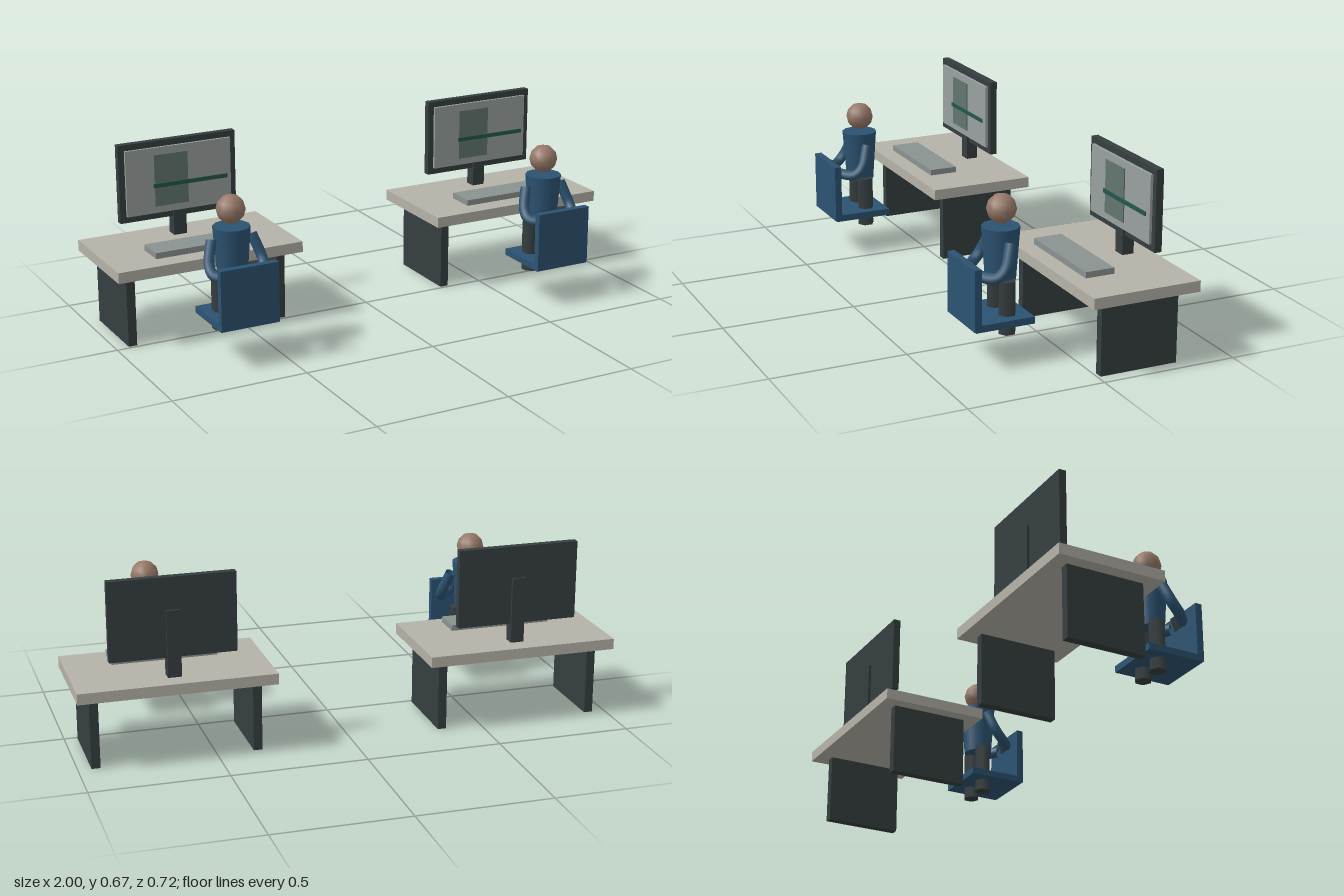
import * as THREE from 'three';

const mat = (color, extra = {}) => new THREE.MeshStandardMaterial({ color, ...extra });
const desktopMat = mat(0xb5b2a8);
const darkMat = mat(0x363e40);
const blueMat = mat(0x2c5372);
const sleeveMat = mat(0x2c5372, { side: THREE.DoubleSide });
const skinMat = mat(0x967868);
const keyMat = mat(0x8b9391);
const screenMat = mat(0x9aa19f);
const paneMat = mat(0x62766f);
const barMat = mat(0x24574e);

function add(parent, name, geometry, material, x, y, z) {
  const mesh = new THREE.Mesh(geometry, material);
  mesh.name = name;
  mesh.position.set(x, y, z);
  parent.add(mesh);
  return mesh;
}

// Box given by its [min, max] range on each axis
function box(parent, name, material, [x0, x1], [y0, y1], [z0, z1]) {
  return add(parent, name, new THREE.BoxGeometry(x1 - x0, y1 - y0, z1 - z0), material,
    (x0 + x1) / 2, (y0 + y1) / 2, (z0 + z1) / 2);
}

function group(parent, name) {
  const g = new THREE.Group();
  g.name = name;
  parent.add(g);
  return g;
}

function buildDesk(parent) {
  const desk = group(parent, 'desk');
  box(desk, 'deskTop', desktopMat, [-0.357, 0.357], [0.264, 0.304], [-0.359, 0.045]);
  for (const s of [-1, 1]) {
    box(desk, s > 0 ? 'leftDeskPanel' : 'rightDeskPanel', darkMat,
      [s * 0.293 - 0.016, s * 0.293 + 0.016], [0, 0.264], [-0.303, -0.011]);
  }
  box(desk, 'keyboard', keyMat, [-0.193, 0.193], [0.311, 0.333], [-0.12, -0.011]);
}

function buildMonitor(parent) {
  const monitor = group(parent, 'monitor');
  box(monitor, 'stand', darkMat, [-0.025, 0.025], [0.304, 0.55], [-0.29, -0.245]);
  box(monitor, 'monitorCase', darkMat, [-0.229, 0.229], [0.376, 0.669], [-0.28, -0.253]);
  box(monitor, 'screen', screenMat, [-0.206, 0.206], [0.4, 0.647], [-0.254, -0.243]);
  box(monitor, 'screenPane', paneMat, [-0.097, 0.034], [0.426, 0.62], [-0.243, -0.239]);
  box(monitor, 'screenBar', barMat, [-0.103, 0.189], [0.498, 0.513], [-0.238, -0.234]);
}

function buildChair(parent) {
  const chair = group(parent, 'chair');
  box(chair, 'seat', blueMat, [-0.11, 0.11], [0.144, 0.169], [0.136, 0.355]);
  box(chair, 'backrest', blueMat, [-0.11, 0.11], [0.147, 0.367], [0.334, 0.36]);
}

function buildPerson(parent) {
  const person = group(parent, 'person');
  add(person, 'torso', new THREE.CylinderGeometry(0.067, 0.053, 0.191, 12), blueMat, 0, 0.376, 0.213);
  add(person, 'head', new THREE.SphereGeometry(0.0525, 12, 6), skinMat, 0, 0.532, 0.21);
  for (const s of [-1, 1]) {
    const side = s > 0 ? 'left' : 'right';
    add(person, side + 'Leg', new THREE.CylinderGeometry(0.0315, 0.0315, 0.19, 6), darkMat, s * 0.047, 0.196, 0.21);
    // Bent sleeve from shoulder past the elbow to the hand
    const path = new THREE.CatmullRomCurve3([
      [0.077, 0.431, 0.2125], [0.1, 0.352, 0.243], [0.095, 0.323, 0.272], [0.038, 0.323, 0.326],
    ].map(([x, y, z]) => new THREE.Vector3(s * x, y, z)));
    add(person, side + 'Arm', new THREE.TubeGeometry(path, 16, 0.02, 8), sleeveMat, 0, 0, 0);
  }
  // Small tablet held between the hands
  const tablet = add(person, 'handheld', new THREE.BoxGeometry(0.045, 0.05, 0.008), darkMat, 0, 0.335, 0.328);
  tablet.rotation.x = -0.35;
}

export function createModel() {
  const model = new THREE.Group();
  model.name = 'workstations';
  for (const x of [-0.643, 0.643]) {
    const station = group(model, x > 0 ? 'leftStation' : 'rightStation');
    station.position.x = x;
    buildDesk(station);
    buildMonitor(station);
    buildChair(station);
    buildPerson(station);
  }
  return model;
}
